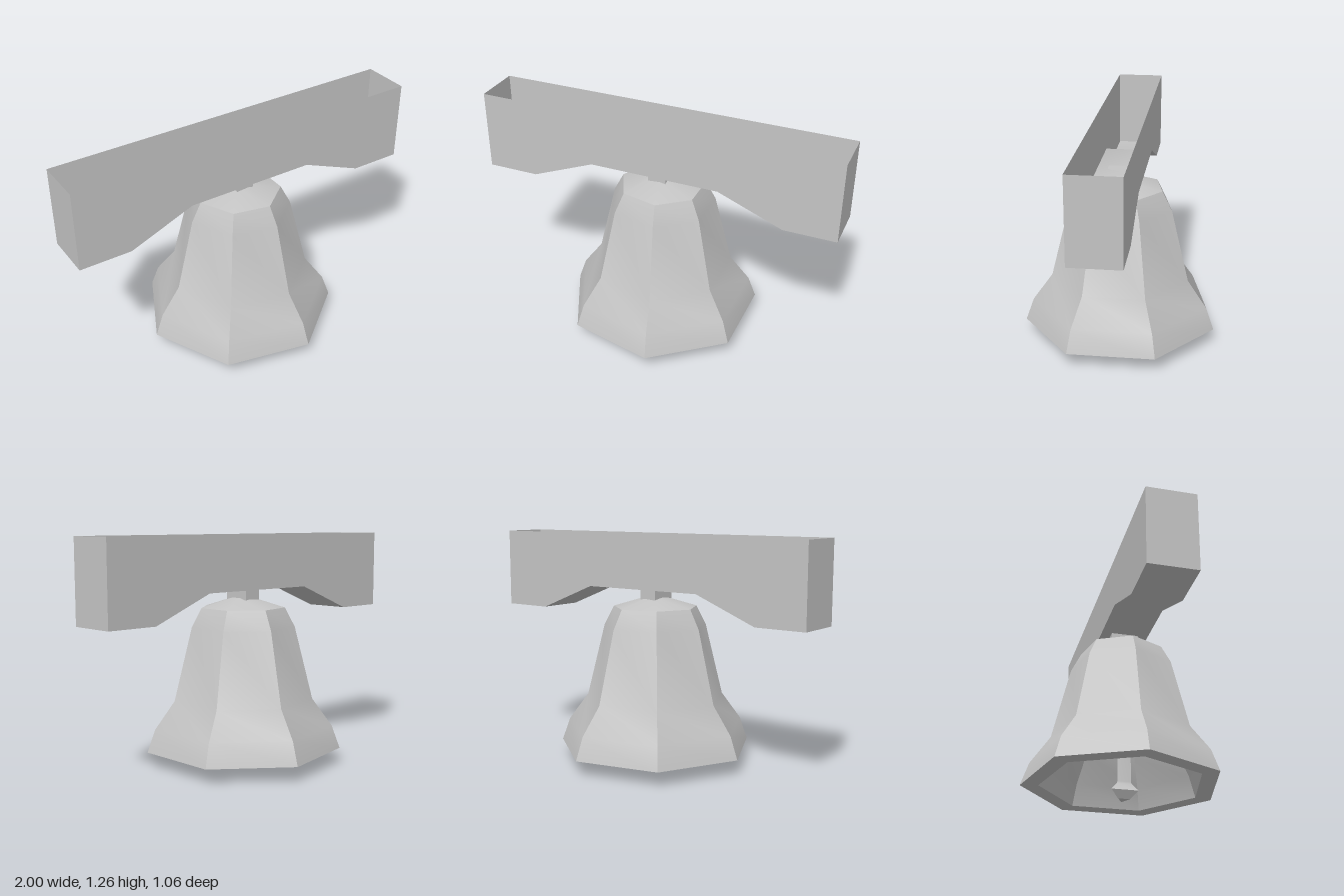
import * as THREE from 'three';
import { toCreasedNormals } from 'three/addons/utils/BufferGeometryUtils.js';

const CREASE = 0.6;
const grey = new THREE.MeshStandardMaterial({ color: 0xc4c4c4, side: THREE.DoubleSide });
grey.name = 'grey metal';

function part(name, geometry, parent) {
  const mesh = new THREE.Mesh(toCreasedNormals(geometry, CREASE), grey);
  mesh.name = name;
  parent.add(mesh);
  return mesh;
}

function lathe(profile, sides, start) {
  const points = profile.map(([r, y]) => new THREE.Vector2(r, y));
  return new THREE.LatheGeometry(points, sides, start);
}

// Beam: a hollow trough, open on top, with a raised middle underneath
function createBeam() {
  const beam = new THREE.Group();
  beam.name = 'beam';
  const depth = 0.264;
  const outline = [
    [-1, 1.26], [-1, 0.822], [-0.715, 0.822], [-0.36, 0.964],
    [0.36, 0.964], [0.715, 0.822], [1, 0.822], [1, 1.26],
  ];

  // Ends and underside: one strip bent along the outline
  const strip = new THREE.PlaneGeometry(2, depth, outline.length - 1, 1);
  const pos = strip.attributes.position;
  for (let i = 0; i < pos.count; i++) {
    const [x, y] = outline[i % outline.length];
    pos.setXYZ(i, x, y, pos.getY(i));
  }
  part('beamUnderside', strip, beam);

  // Side walls
  const shape = new THREE.Shape(outline.map(([x, y]) => new THREE.Vector2(x, y)));
  for (const [name, turn] of [['beamFront', 0], ['beamBack', Math.PI]]) {
    const wall = new THREE.ShapeGeometry(shape).translate(0, 0, depth / 2).rotateY(turn);
    part(name, wall, beam);
  }
  return beam;
}

export function createModel() {
  const model = new THREE.Group();
  model.name = 'hangingBell';
  model.add(createBeam());

  // Seven-sided bell: inner wall downwards, rim, outer wall upwards, crown
  part('bell', lathe([
    [0, 0.85], [0.185, 0.825], [0.235, 0.74], [0.32, 0.36], [0.41, 0.2], [0.447, 0.082],
    [0.545, 0.082], [0.5, 0.207], [0.39, 0.357], [0.29, 0.757], [0.235, 0.862],
    [0.06, 0.915], [0, 0.918],
  ], 7, -Math.PI / 2), model);

  // Short hanger between bell and beam
  part('hanger', new THREE.BoxGeometry(0.1, 0.066, 0.15).translate(-0.003, 0.931, 0), model);

  // Clapper: three-sided rod with a faceted knob
  const clapper = lathe([
    [0, 0], [0.038, 0], [0.085, 0.043], [0.046, 0.083], [0.042, 0.095], [0.042, 0.84],
  ], 3, Math.PI / 2);
  part('clapper', clapper.translate(-0.011, 0, 0), model);

  return model;
}
